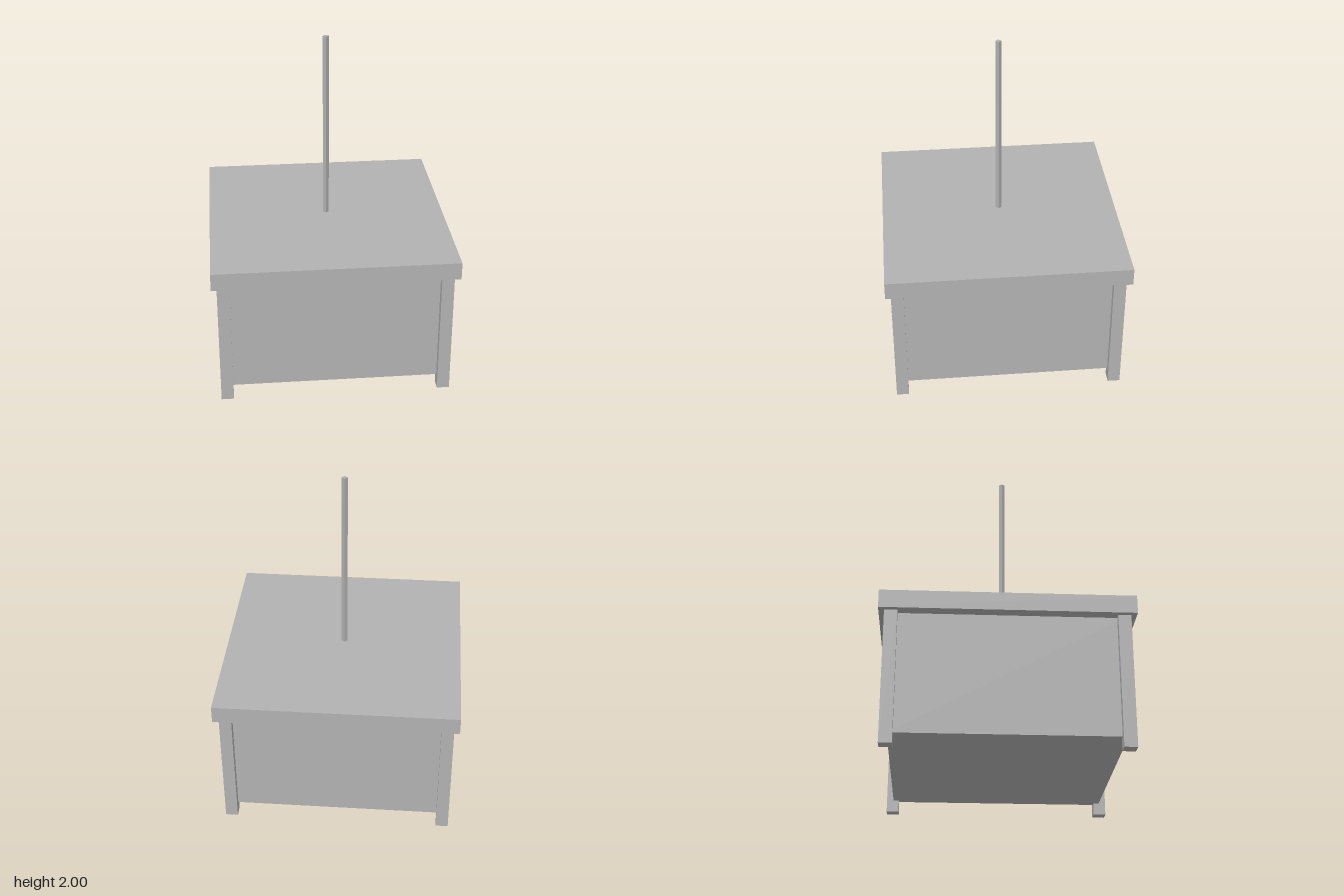
import * as THREE from 'three';

export function createModel() {
  const group = new THREE.Group();
  const grey = new THREE.MeshStandardMaterial({ color: 0xb2b2b2 });
  grey.name = 'plain grey';

  const add = (name, geometry, x, y, z) => {
    const mesh = new THREE.Mesh(geometry, grey);
    mesh.name = name;
    mesh.position.set(x, y, z);
    group.add(mesh);
  };
  // Box standing between two heights
  const box = (name, width, bottom, top, x = 0, z = 0) =>
    add(name, new THREE.BoxGeometry(width, top - bottom, width), x, (bottom + top) / 2, z);

  // Box body and overhanging lid
  box('body', 1.28, 0.07, 0.765);
  box('tabletop', 1.424, 0.765, 0.87);

  // Corner legs
  for (const [side, x] of [['left', 1], ['right', -1]]) {
    for (const [end, z] of [['Front', 1], ['Back', -1]]) {
      box(`${side}${end}Leg`, 0.073, 0, 0.765, x * 0.644, z * 0.644);
    }
  }

  // Four-sided pole, corners facing the axes
  const pole = new THREE.CylinderGeometry(0.018, 0.018, 1.13, 4).toNonIndexed();
  pole.computeVertexNormals();
  add('pole', pole, 0, 1.435, 0);

  return group;
}
